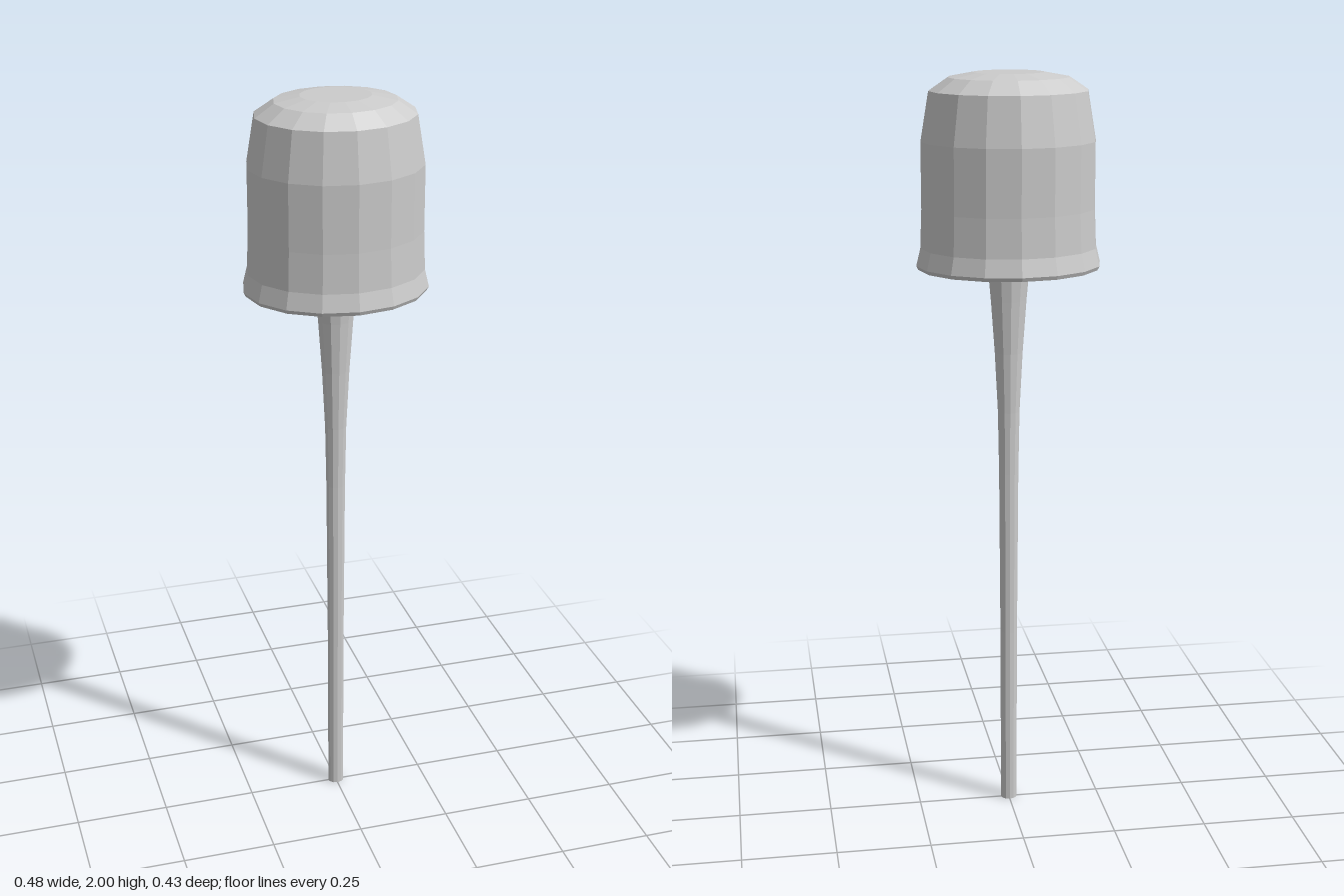
import * as THREE from 'three';

// Lathed part with an oval plan (narrower front to back)
function ovalLathe(name, profile, sides) {
  const points = profile.map(([r, y]) => new THREE.Vector2(r, y));
  const geometry = new THREE.LatheGeometry(points, sides);
  geometry.scale(1, 1, 0.888);
  const material = new THREE.MeshStandardMaterial({ color: 0xcccccc, flatShading: true });
  const mesh = new THREE.Mesh(geometry, material);
  mesh.name = name;
  return mesh;
}

export function createModel() {
  const model = new THREE.Group();
  model.name = 'capWithWand';

  // Hollow cap: inner ceiling, inner wall, rim, outer wall, crown
  model.add(ovalLathe('cap', [
    [0, 1.96], [0.145, 1.955], [0.187, 1.93], [0.207, 1.82], [0.209, 1.65], [0.222, 1.507],
    [0.235, 1.505], [0.24, 1.515], [0.229, 1.56], [0.225, 1.66], [0.225, 1.83],
    [0.204, 1.955], [0.155, 1.988], [0.09, 2], [0, 2],
  ], 16));

  // Slender wand, flaring as it rises into the cap
  model.add(ovalLathe('wand', [
    [0, 0], [0.022, 0], [0.023, 0.5], [0.026, 0.95], [0.029, 1.12], [0.037, 1.28],
    [0.047, 1.42], [0.056, 1.52], [0.066, 1.65], [0.075, 1.8], [0.085, 1.958],
  ], 12));

  return model;
}
